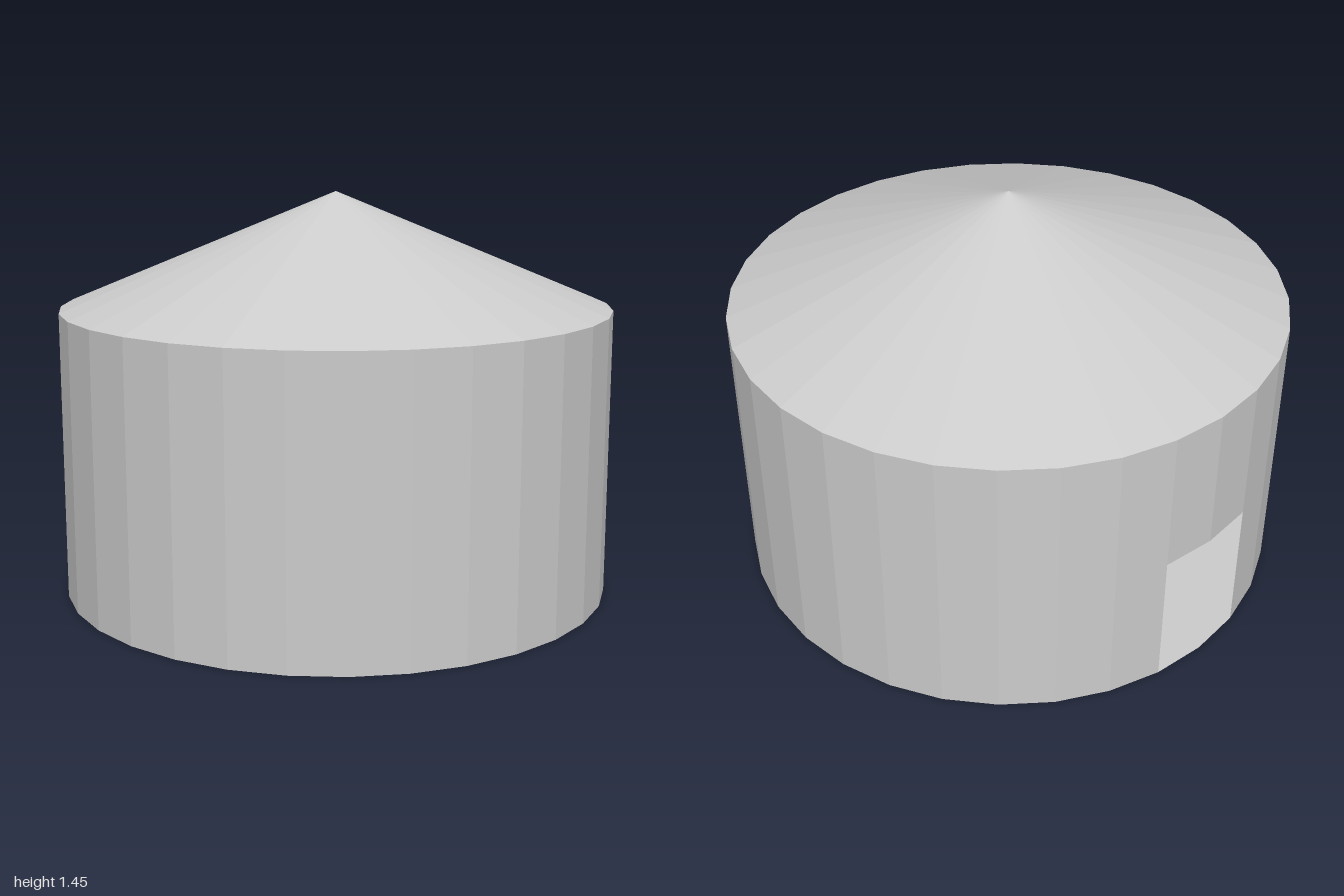
import * as THREE from 'three';

const SIDES = 32;
const RADIUS = 1;
const EAVE = 1.036;
const APEX = 1.45;
const DOOR_HEIGHT = 0.51;
const DOOR_SIDES = 2; // facets taken out of the back wall
const STEP = (Math.PI * 2) / SIDES;

export function createModel() {
  const group = new THREE.Group();
  const material = new THREE.MeshStandardMaterial({
    color: 0xcccccc,
    flatShading: true,
    side: THREE.DoubleSide,
  });

  const add = (name, geometry, y) => {
    const mesh = new THREE.Mesh(geometry, material);
    mesh.name = name;
    mesh.position.y = y;
    group.add(mesh);
    return mesh;
  };

  // Thin faceted wall strip between two heights
  const addWall = (name, bottom, top, start, sides) =>
    add(
      name,
      new THREE.CylinderGeometry(RADIUS, RADIUS, top - bottom, sides, 1, true, start, sides * STEP),
      (bottom + top) / 2
    );

  // Wall all round except the doorway, which is centred at the back
  const doorStart = Math.PI - (DOOR_SIDES / 2) * STEP;
  addWall('wall', 0, EAVE, doorStart + DOOR_SIDES * STEP, SIDES - DOOR_SIDES);
  addWall('wallAboveDoorway', DOOR_HEIGHT, EAVE, doorStart, DOOR_SIDES);

  // Hollow conical roof
  add('roof', new THREE.ConeGeometry(RADIUS, APEX - EAVE, SIDES, 1, true), (APEX + EAVE) / 2);

  // Floor disc
  add('floor', new THREE.CircleGeometry(RADIUS, SIDES).rotateX(-Math.PI / 2), 0);

  return group;
}
